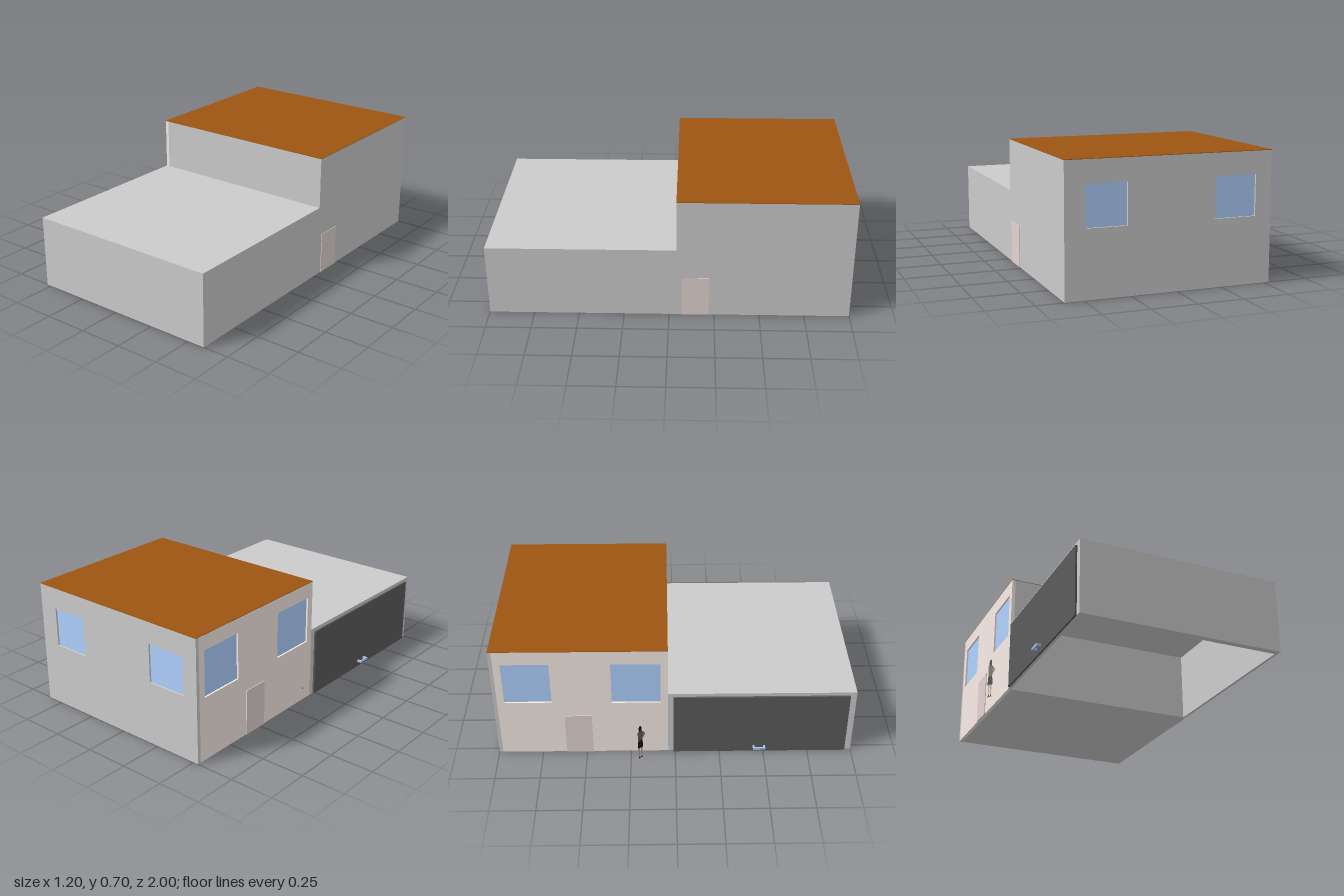
import * as THREE from 'three';

const mat = (color, side = THREE.FrontSide) => new THREE.MeshStandardMaterial({ color, side });

export function createModel() {
  const model = new THREE.Group();
  const grey = mat(0xcccccc), render = mat(0xf8ece6), roofBrown = mat(0x9c5511);
  const glass = mat(0xb0d2ff), doorPink = mat(0xe1d4d1), dark = mat(0x5b5b5b), steel = mat(0xa6c6f2);

  // Box given by its minimum and maximum corners
  function box(name, material, [x0, y0, z0], [x1, y1, z1], parent = model) {
    const mesh = new THREE.Mesh(new THREE.BoxGeometry(x1 - x0, y1 - y0, z1 - z0), material);
    mesh.position.set((x0 + x1) / 2, (y0 + y1) / 2, (z0 + z1) / 2);
    mesh.name = name;
    parent.add(mesh);
    return mesh;
  }

  const L = -0.53, R = 0.6, B = -1, F = 1, STEP = -0.04, H = 0.7, LOW = 0.41, T = 0.02;

  // Wall panel with window holes; glass sits half way into the wall.
  // u runs along the wall, local +z points into the house.
  function windowWall(name, material, u0, u1, windows) {
    const wall = new THREE.Group();
    wall.name = name;
    const rect = (path, a, b, c, d) => {
      path.moveTo(a, c); path.lineTo(b, c); path.lineTo(b, d); path.lineTo(a, d); path.closePath();
      return path;
    };
    const shape = rect(new THREE.Shape(), u0, u1, 0, H);
    for (const [a, b, c, d] of windows) {
      shape.holes.push(rect(new THREE.Path(), a, b, c, d));
      box('windowPane', glass, [a, c, 0.01], [b, d, T], wall);
    }
    const panel = new THREE.Mesh(new THREE.ExtrudeGeometry(shape, { depth: T, bevelEnabled: false }), material);
    panel.name = name + 'Panel';
    wall.add(panel);
    model.add(wall);
    return wall;
  }

  // Tall house block
  box('houseBody', grey, [L + T, 0, B + T], [R, H, STEP]);
  const back = windowWall('backWall', grey, L, R, [[0.27, 0.49, 0.36, 0.58], [-0.44, -0.21, 0.36, 0.58]]);
  back.position.z = B;
  const side = windowWall('entranceWall', render, -STEP, -B - T, [[0.68, 0.94, 0.357, 0.617], [0.08, 0.35, 0.352, 0.615]]);
  side.rotation.y = Math.PI / 2; // u becomes -z, depth becomes +x
  side.position.x = L;
  box('houseRoof', roofBrown, [L, H, B], [R, H + 0.003, STEP]);

  // Entrance doors, standing slightly proud of the walls
  box('entranceDoor', doorPink, [L - 0.004, 0, -0.615], [L, 0.262, -0.465]);
  box('sideDoor', doorPink, [R, 0, -0.22], [R + 0.003, 0.238, -0.07]);

  // Low garage, hollow and open underneath
  box('garageFrontWall', grey, [L, 0, F - 0.035], [R, LOW, F]);
  box('garageLeftWall', grey, [R - 0.015, 0, STEP], [R, LOW, F - 0.035]);
  box('garageRightWall', grey, [L, 0, STEP], [L + 0.015, LOW, F - 0.035]);
  box('garageRoof', grey, [L + 0.015, LOW - 0.015, STEP], [R - 0.015, LOW, F - 0.035]);
  box('garageDoor', dark, [L - 0.01, 0, -0.01], [L, 0.39, 0.965]);

  // Garage door handle: two arms and a grip
  const handle = new THREE.Group();
  handle.name = 'garageHandle';
  for (const z of [0.44, 0.5]) box('handleArm', steel, [-0.567, 0.03, z], [-0.54, 0.043, z + 0.01], handle);
  box('handleGrip', steel, [-0.567, 0.03, 0.45], [-0.559, 0.043, 0.5], handle);
  model.add(handle);

  // Flat cut-out figure standing by the entrance
  const figure = new THREE.Group();
  figure.name = 'figure';
  const flat = (name, color, points, mirror = false) => {
    const pts = points.map(([x, y]) => new THREE.Vector2(mirror ? -x : x, y));
    const mesh = new THREE.Mesh(new THREE.ShapeGeometry(new THREE.Shape(pts)), mat(color, THREE.DoubleSide));
    mesh.name = name;
    figure.add(mesh);
  };
  flat('hair', 0x1c1714, [[-0.009, 0.195], [-0.009, 0.222], [-0.004, 0.234], [0.004, 0.234], [0.009, 0.222], [0.009, 0.195]]);
  flat('torso', 0x66605a, [[-0.014, 0.13], [-0.018, 0.19], [-0.009, 0.198], [0.009, 0.198], [0.016, 0.188], [0.014, 0.13]]);
  flat('bag', 0x9a8658, [[0.015, 0.14], [0.015, 0.188], [0.022, 0.188], [0.034, 0.163]]);
  flat('skirt', 0x151515, [[-0.018, 0.075], [-0.014, 0.13], [0.014, 0.13], [0.018, 0.075]]);
  for (const m of [false, true]) {
    flat('leg', 0xc9a58c, [[0.004, 0.012], [0.003, 0.075], [0.014, 0.075], [0.01, 0.012]], m);
    flat('shoe', 0x151515, [[0.003, 0], [0.004, 0.012], [0.01, 0.012], [0.015, 0]], m);
  }
  figure.position.set(-0.59, 0, -0.196);
  figure.rotation.y = -0.963;
  model.add(figure);

  return model;
}
